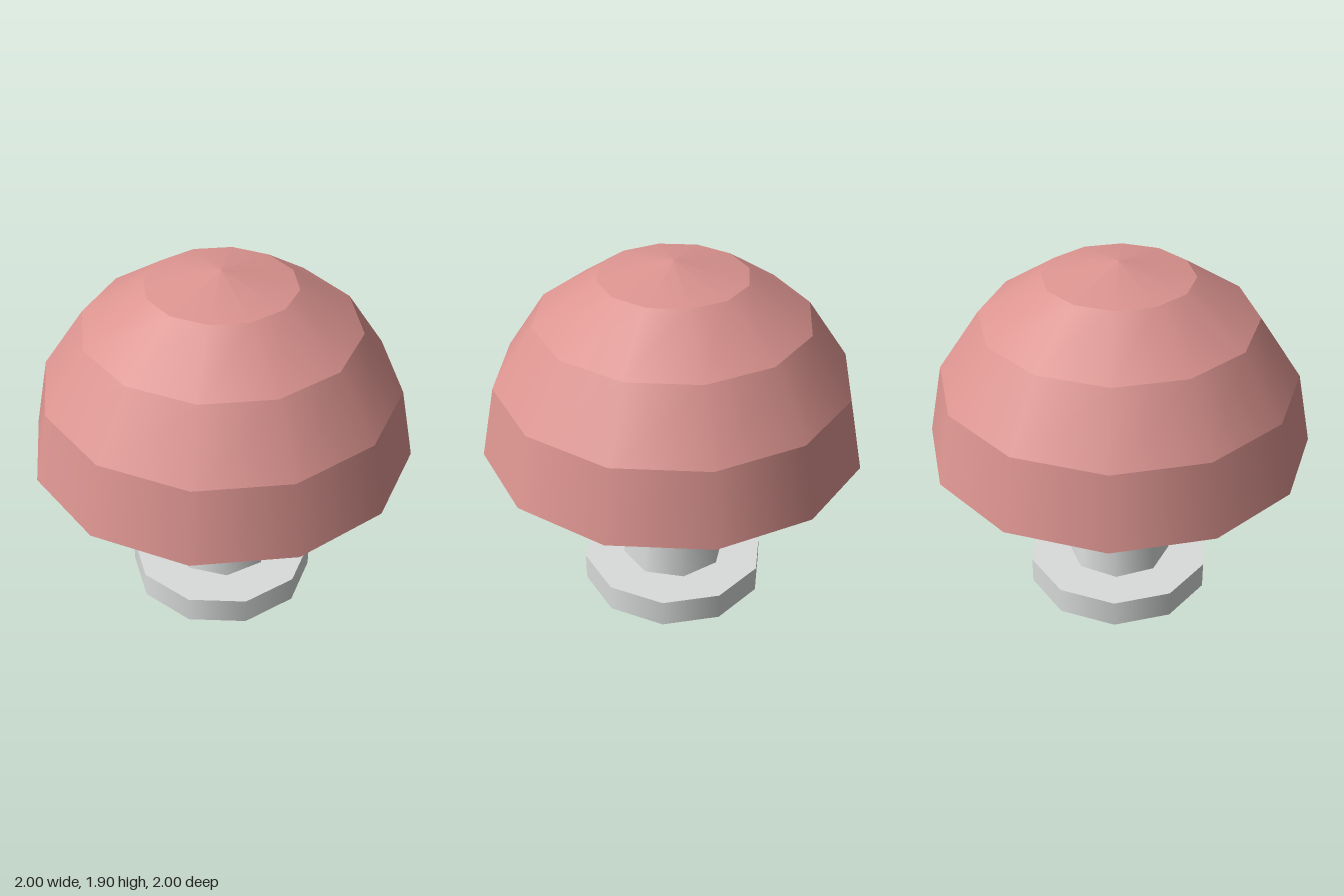
import * as THREE from 'three';

export function createModel() {
  const model = new THREE.Group();
  const pink = new THREE.MeshStandardMaterial({ color: 0xdc9490 });
  pink.name = 'dustyPink';
  const grey = new THREE.MeshStandardMaterial({ color: 0xd9dcdb });
  grey.name = 'paleGrey';

  // Upright tapered cylinder standing on y, with its first corner on the x axis
  function frustum(name, parent, material, rTop, rBottom, y, height, sides, open = false) {
    const geometry = new THREE.CylinderGeometry(rTop, rBottom, height, sides, 1, open);
    geometry.rotateY(Math.PI / 2);
    const mesh = new THREE.Mesh(geometry, material);
    mesh.name = name;
    mesh.position.y = y + height / 2;
    parent.add(mesh);
  }

  // Foot and stem
  frustum('base', model, grey, 0.5, 0.5, 0, 0.15, 10);
  frustum('stem', model, grey, 0.21, 0.283, 0.15, 0.76, 8);

  // Domed cap: four rings, smooth around and creased between rings
  const cap = new THREE.Group();
  cap.name = 'cap';
  cap.position.y = 0.9;
  const rings = 4;
  for (let i = 0; i < rings; i++) {
    const a = (i / rings) * Math.PI / 2;
    const b = ((i + 1) / rings) * Math.PI / 2;
    const rTop = i === rings - 1 ? 0 : Math.cos(b);
    frustum('capRing' + (i + 1), cap, pink, rTop, Math.cos(a),
      Math.sin(a), Math.sin(b) - Math.sin(a), 12, true);
  }

  // Flat underside of the cap
  const underside = new THREE.Mesh(new THREE.CircleGeometry(1, 12), pink);
  underside.name = 'capUnderside';
  underside.rotation.x = Math.PI / 2;
  cap.add(underside);
  model.add(cap);

  return model;
}
